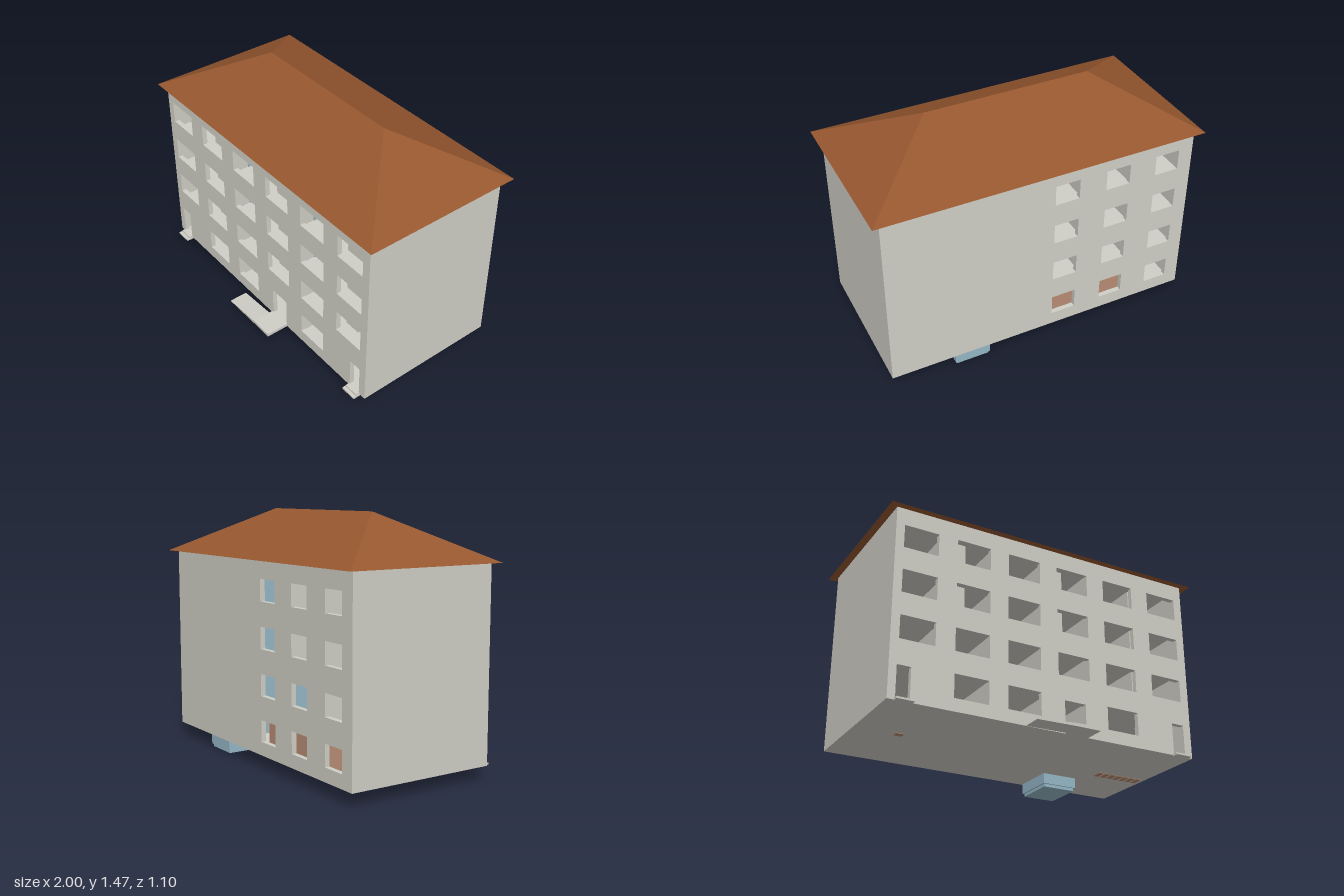
import * as THREE from 'three';

const mat = (name, color) => Object.assign(new THREE.MeshStandardMaterial({ color, flatShading: true }), { name });

export function createModel() {
  const wallMat = mat('plaster', 0xd0cfc6);
  const roofMat = mat('roofTile', 0x96572f);
  const blueMat = mat('bluePanel', 0x95b7c6);
  const tanMat = mat('tanPanel', 0xb88d75);

  const root = new THREE.Group();
  root.name = 'apartmentBlock';
  const group = (name) => {
    const g = new THREE.Group();
    g.name = name;
    root.add(g);
    return g;
  };
  const shell = group('shell'), inside = group('interior'), entrances = group('entrances');

  // Box given by its limits on each axis
  const box = (parent, name, m, x0, x1, y0, y1, z0, z1) => {
    const mesh = new THREE.Mesh(new THREE.BoxGeometry(x1 - x0, y1 - y0, z1 - z0), m);
    mesh.position.set((x0 + x1) / 2, (y0 + y1) / 2, (z0 + z1) / 2);
    mesh.name = name;
    parent.add(mesh);
    return mesh;
  };
  const rect = (path, x0, x1, y0, y1) =>
    path.moveTo(x0, y0).lineTo(x1, y0).lineTo(x1, y1).lineTo(x0, y1).closePath();

  const L = -0.955, R = 0.95, F = 0.41, B = -0.505, base = 0.08, eave = 1.2, t = 0.03;
  const storey = 0.27, floorY = (k) => 0.09 + storey * k;

  // Long walls with window and door openings
  const longWall = (name, z, openings) => {
    const shape = new THREE.Shape();
    rect(shape, L, R, base, eave);
    for (const o of openings) {
      const hole = new THREE.Path();
      rect(hole, ...o);
      shape.holes.push(hole);
    }
    const mesh = new THREE.Mesh(new THREE.ExtrudeGeometry(shape, { depth: t, bevelEnabled: false }), wallMat);
    mesh.position.z = z;
    mesh.name = name;
    shell.add(mesh);
  };
  const frontCols = [-0.905, -0.585, -0.265, 0.053, 0.372, 0.692];
  const frontHoles = [], backHoles = [];
  for (let k = 0; k < 4; k++) {
    const y0 = floorY(k) + 0.065 - (k ? 0.003 : 0), y1 = y0 + 0.137;
    frontCols.forEach((x, i) => {
      if (k > 0 || [1, 2, 4].includes(i)) frontHoles.push([x, x + 0.205, y0, y1]);
    });
    for (const x of [-0.865, -0.543, -0.22]) backHoles.push([x, x + 0.152, y0 + 0.005, y1 - 0.005]);
  }
  for (const [x0, x1] of [[-0.91, -0.83], [0.09, 0.225], [0.82, 0.9]]) frontHoles.push([x0, x1, 0.09, 0.275]);
  longWall('frontWall', F - t, frontHoles);
  longWall('backWall', B, backHoles);
  box(shell, 'rightEndWall', wallMat, L, L + t, base, eave, B + t, F - t);
  box(shell, 'leftEndWall', wallMat, R - t, R, base, eave, B + t, F - t);

  // Hipped roof with a flat underside
  const pts = [[-1, 1.2, 0.45], [1, 1.2, 0.45], [1, 1.2, -0.55], [-1, 1.2, -0.55], [-0.5, 1.47, -0.05], [0.5, 1.47, -0.05]];
  const faces = [0, 1, 5, 0, 5, 4, 1, 2, 5, 2, 3, 4, 2, 4, 5, 3, 0, 4, 0, 3, 2, 0, 2, 1];
  const roofGeo = new THREE.BufferGeometry();
  roofGeo.setAttribute('position', new THREE.Float32BufferAttribute(faces.flatMap((i) => pts[i]), 3));
  roofGeo.computeVertexNormals();
  const roof = new THREE.Mesh(roofGeo, roofMat);
  roof.name = 'hippedRoof';
  root.add(roof);

  // Floor slabs and top ceiling
  const iL = L + t, iR = R - t, iF = F - t, iB = B + t;
  for (let k = 0; k < 5; k++) {
    const top = k < 4 ? floorY(k) : 1.19;
    box(inside, 'floorSlab', wallMat, iL, iR, k ? top - 0.02 : base, top, iB, iF);
  }

  for (let k = 0; k < 4; k++) {
    const y0 = floorY(k), y1 = y0 + storey - 0.02;
    // Spine wall and cross walls
    if (k) box(inside, 'spineWall', wallMat, iL, iR, y0, y1, -0.12, -0.1);
    else box(inside, 'spineWall', wallMat, -0.05, iR, y0, y1, -0.52 + 0.3, -0.2);
    for (const x of [-0.31, 0.325]) {
      box(inside, 'crossWall', wallMat, x - 0.02, x, y0, y1, -0.1, iF);
      if (k > 1) box(inside, 'bluePartitionFace', blueMat, x, x + 0.005, y0, y1, -0.1, 0.28);
    }
    for (const x of [-0.62, -0.3, -0.03]) {
      if (k) box(inside, 'backCrossWall', wallMat, x, x + 0.02, y0, y1, iB, -0.12);
    }
    if (k) {
      box(inside, 'bluePartitionFace', blueMat, -0.035, -0.03, y0, y1, iB, -0.12);
      if (k === 1) box(inside, 'bluePartitionFace', blueMat, -0.305, -0.3, y0, y1, iB, -0.12);
      box(inside, 'spineBackPanel', k === 1 ? blueMat : tanMat, -0.6, -0.31, y0, y1, -0.125, -0.12);
    }
    // Small rooms behind every second front window, with blue walls beyond
    for (const x of [frontCols[1], frontCols[3], frontCols[5]]) {
      if (!k) continue;
      const end = x + (k === 1 ? 0.05 : x > 0.5 ? 0.07 : 0.105);
      box(inside, 'smallRoom', wallMat, x - 0.055, end, y0, y1, -0.1, 0.29);
      if (k > 1) box(inside, 'blueBackPanel', blueMat, end, x + 0.225, y0, y1, -0.1, -0.094);
    }
    // Stair flight in the back corner
    const n = 9, z0 = k ? -0.15 : 0.1, run = (z0 - iB) / n;
    for (let i = 0; i < n; i++) {
      const zs = z0 - run * i, ys = y0 + (storey - 0.03) * (i + 1) / n;
      box(inside, 'stairTread', tanMat, iL, -0.78, ys - 0.025, ys, zs - run, zs);
    }
  }

  // Ground floor rooms
  box(inside, 'storeRooms', tanMat, -0.62, -0.05, 0.09, 0.34, -0.44, -0.1);
  for (const y of [0.18, 0.235]) box(inside, 'storeRail', tanMat, -0.62, -0.05, y, y + 0.006, -0.1, -0.09);
  box(inside, 'hallWall', wallMat, 0.04, 0.12, 0.09, 0.34, -0.1, 0.28);
  box(inside, 'hallBluePanel', blueMat, 0.14, 0.25, 0.09, 0.34, 0, 0.006);
  box(inside, 'sideEntryWall', wallMat, 0.78, iR, 0.09, 0.34, 0.1, 0.28);

  // Lift shaft and its pit under the building
  box(inside, 'liftShaft', blueMat, 0.335, 0.575, 0.09, 1.16, -0.47, -0.19);
  box(root, 'liftPit', blueMat, 0.335, 0.555, 0.018, base, -0.495, -0.235);
  box(root, 'liftPitBase', blueMat, 0.343, 0.547, 0, 0.018, -0.487, -0.243);

  // Stair undersides showing through the bottom slab
  for (let i = 0; i < 7; i++) {
    box(root, 'stairUnderside', tanMat, 0.62 + i * 0.045, 0.655 + i * 0.045, 0.077, base, -0.13, -0.06);
  }
  box(root, 'cornerStairUnderside', tanMat, -0.72, -0.67, 0.077, base, -0.06, -0.02);

  // Side doorsteps
  for (const x of [-0.92, 0.81]) {
    box(entrances, 'lowerStep', wallMat, x, x + 0.1, 0.072, 0.082, F, 0.455);
    box(entrances, 'upperStep', wallMat, x + 0.005, x + 0.095, 0.082, 0.092, F, 0.435);
  }

  // Main landing and its sloping ramp
  box(entrances, 'landing', wallMat, 0.08, 0.225, 0.075, 0.094, F, 0.55);
  const profile = new THREE.Shape();
  profile.moveTo(-0.17, 0.07).lineTo(0.08, 0.075).lineTo(0.08, 0.094).lineTo(-0.17, 0.073).closePath();
  const ramp = new THREE.Mesh(new THREE.ExtrudeGeometry(profile, { depth: 0.115, bevelEnabled: false }), wallMat);
  ramp.position.z = 0.435;
  ramp.name = 'ramp';
  entrances.add(ramp);

  return root;
}
